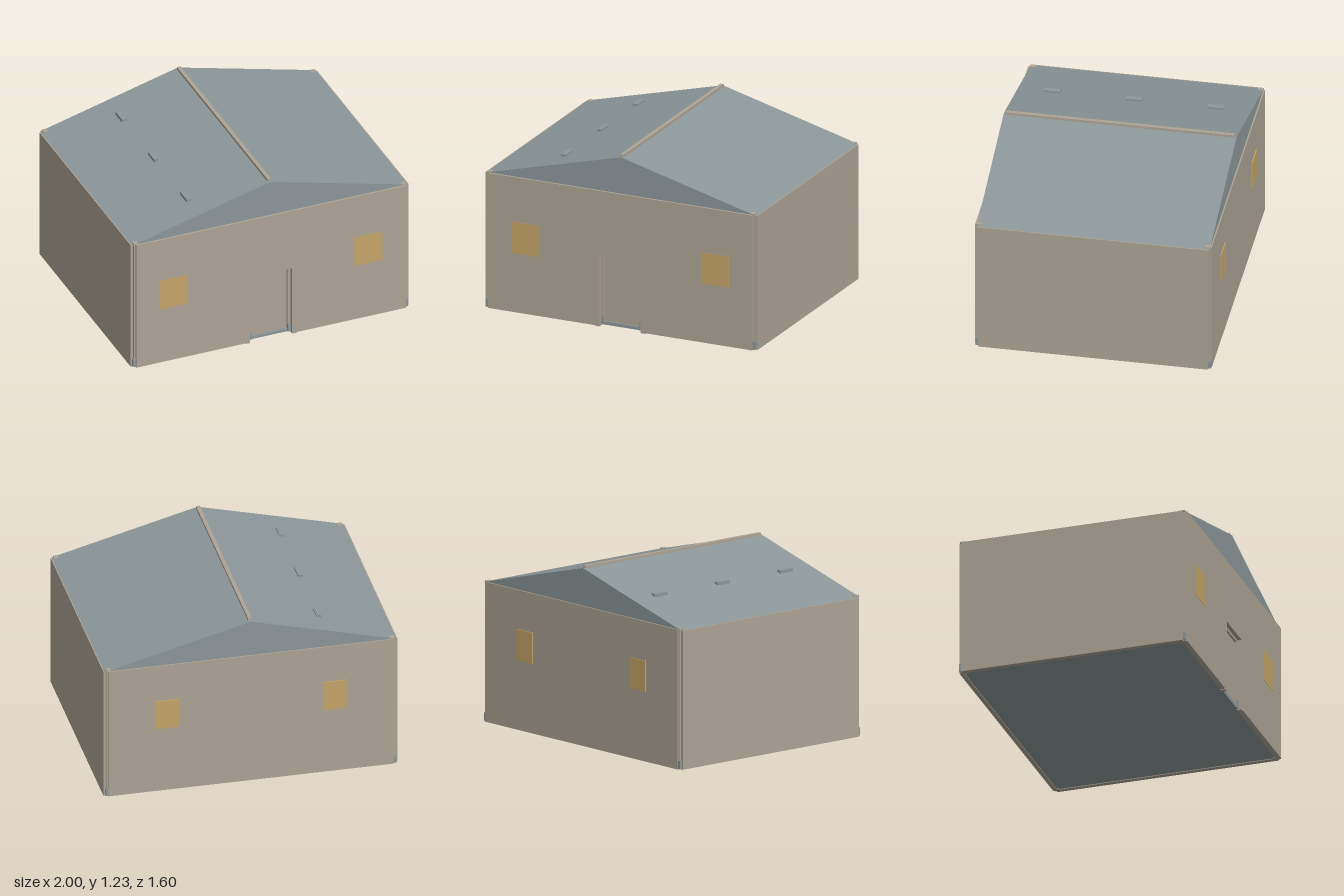
import * as THREE from 'three';

const mat = (name, color) => {
  const m = new THREE.MeshStandardMaterial({ color });
  m.name = name;
  return m;
};

export function createModel() {
  const model = new THREE.Group();
  model.name = 'house';
  const tan = mat('wall tan', 0xaca394);
  const grey = mat('roof grey', 0x8c9699);
  const amber = mat('window amber', 0xc4a468);

  // box given by its lower and upper corners
  const box = (name, m, [x0, y0, z0], [x1, y1, z1]) => {
    const mesh = new THREE.Mesh(new THREE.BoxGeometry(x1 - x0, y1 - y0, z1 - z0), m);
    mesh.position.set((x0 + x1) / 2, (y0 + y1) / 2, (z0 + z1) / 2);
    mesh.name = name;
    model.add(mesh);
  };
  // outline in x and y, extruded from z0 to z1
  const prism = (name, m, points, z0, z1) => {
    const shape = new THREE.Shape(points.map(([x, y]) => new THREE.Vector2(x, y)));
    const mesh = new THREE.Mesh(
      new THREE.ExtrudeGeometry(shape, { depth: z1 - z0, bevelEnabled: false }), m);
    mesh.position.z = z0;
    mesh.name = name;
    model.add(mesh);
  };

  // floor slab, slightly above the bottom of the walls
  box('floor', grey, [-0.97, 0.01, -0.77], [0.97, 0.03, 0.77]);

  // front wall with the door opening, back wall and side walls
  prism('frontWall', tan, [[-0.97, 0.005], [-0.152, 0.005], [-0.152, 0.51], [0.152, 0.51],
    [0.152, 0.005], [0.97, 0.005], [0.97, 0.955], [-0.97, 0.955]], 0.765, 0.8);
  box('backWall', tan, [-0.97, 0.005, -0.795], [0.97, 0.955, -0.765]);
  for (const s of [-1, 1]) {
    const [a, b] = s < 0 ? [-1, -0.965] : [0.965, 1];
    box('sideWall', tan, [a, 0.005, -0.775], [b, 0.95, 0.775]);
  }

  // corner posts with grey feet set in the notched corners
  for (const sx of [-1, 1]) for (const sz of [-1, 1]) {
    const put = (name, m, x0, x1, z0, z1, y0, y1) => box(name, m,
      [Math.min(sx * x0, sx * x1), y0, Math.min(sz * z0, sz * z1)],
      [Math.max(sx * x0, sx * x1), y1, Math.max(sz * z0, sz * z1)]);
    put('cornerPost', tan, 0.95, 0.982, 0.75, 0.787, 0.005, 0.962);
    put('postFoot', grey, 0.95, 0.99, 0.75, 0.792, 0.01, 0.065);
  }

  // roof with closed gables, ridge cap and vents
  prism('roof', grey, [[-0.993, 0.951], [0.993, 0.951], [0, 1.21]], -0.785, 0.785);
  box('ridgeCap', tan, [-0.013, 1.195, -0.77], [0.013, 1.225, 0.77]);
  for (const z of [-0.55, 0, 0.55])
    box('roofVent', grey, [-0.525, 1.06, z - 0.055], [-0.49, 1.094, z + 0.055]);

  // recessed door, frame, sill and feet
  box('door', tan, [-0.132, 0.02, 0.73], [0.132, 0.49, 0.758]);
  box('doorHead', tan, [-0.152, 0.49, 0.74], [0.152, 0.51, 0.772]);
  box('doorSill', grey, [-0.152, 0.008, 0.74], [0.152, 0.024, 0.77]);
  for (const s of [-1, 1]) {
    const x = s * 0.141;
    box('doorJamb', tan, [x - 0.011, 0.01, 0.74], [x + 0.011, 0.49, 0.772]);
    box('jambFoot', grey, [x - 0.01, 0.009, 0.745], [x + 0.01, 0.065, 0.778]);
    box('doorFootBlock', tan, [s * 0.168 - 0.016, 0, 0.765], [s * 0.168 + 0.016, 0.012, 0.8]);
  }

  // window plates on the front and back walls
  for (const s of [-1, 1]) {
    box('frontWindow', amber, [s * 0.7 - 0.1, 0.42, 0.797], [s * 0.7 + 0.1, 0.64, 0.802]);
    box('backWindow', amber, [s * 0.57 - 0.08, 0.48, -0.802], [s * 0.57 + 0.08, 0.69, -0.794]);
  }
  return model;
}
